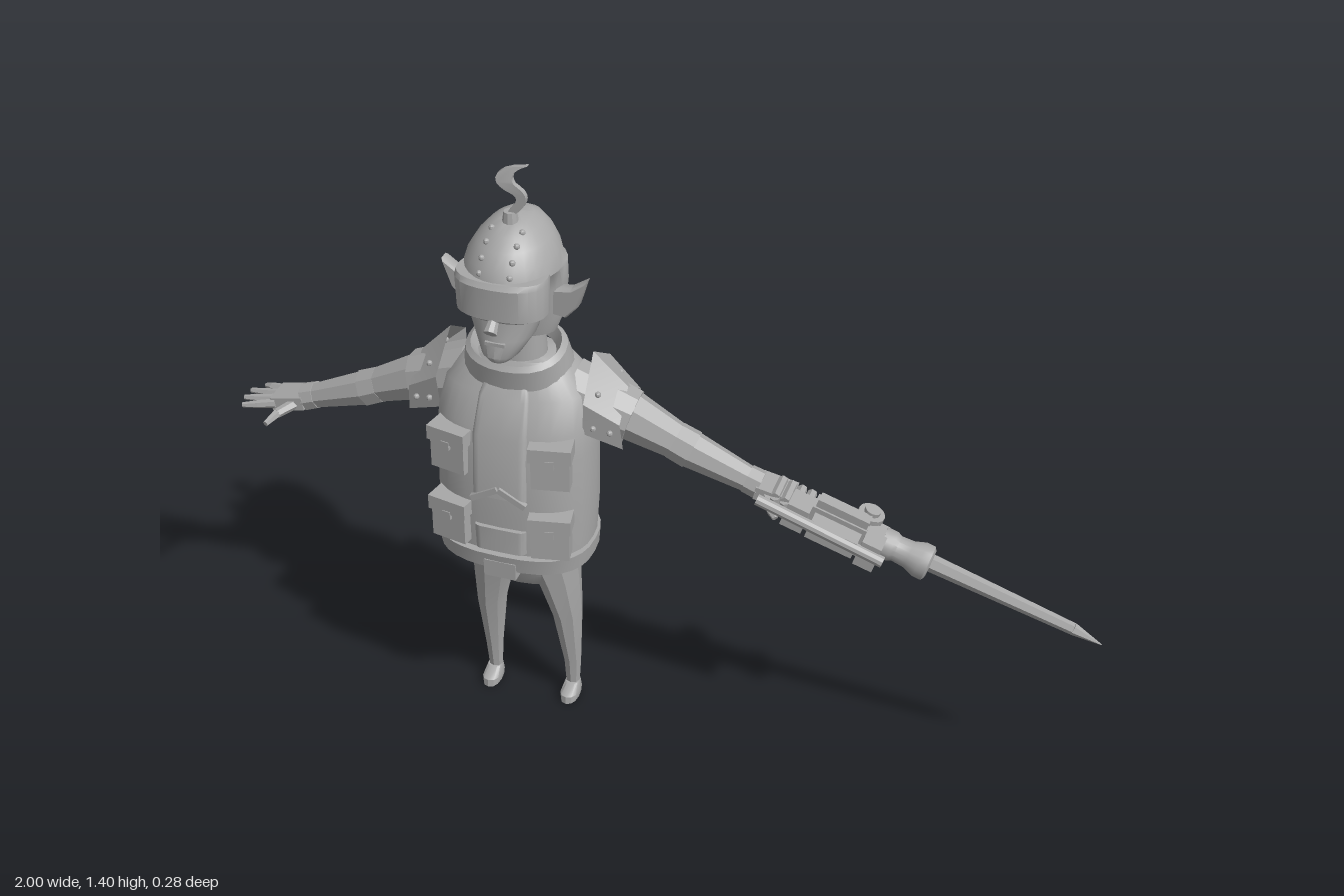
import * as THREE from 'three';
import { toCreasedNormals } from 'three/addons/utils/BufferGeometryUtils.js';

const V = (x, y, z) => new THREE.Vector3(x, y, z);

export function createModel() {
  const grey = new THREE.MeshStandardMaterial({ color: 0xa8a8a8, side: THREE.DoubleSide });
  grey.name = 'plain grey';
  const model = new THREE.Group();
  const figure = new THREE.Group();
  figure.name = 'figure';
  figure.position.x = -0.31;
  model.add(figure);

  function add(name, geo, parent = figure, crease = 0.6) {
    const mesh = new THREE.Mesh(toCreasedNormals(geo, crease), grey);
    mesh.name = name;
    parent.add(mesh);
    return mesh;
  }
  function surface(pos, idx) {
    const g = new THREE.BufferGeometry();
    g.setAttribute('position', new THREE.Float32BufferAttribute(pos, 3));
    g.setIndex(idx);
    return g;
  }
  // Stack of rounded rings, each [y, half width, front z, back z, centre x]
  function loft(sections, n = 24, power = 2, caps = true) {
    const pos = [], idx = [], e = 2 / power;
    const bend = (v) => Math.sign(v) * Math.abs(v) ** e;
    for (const [y, rx, zf, zb, cx = 0] of sections) {
      for (let j = 0; j < n; j++) {
        const a = (j / n) * Math.PI * 2;
        pos.push(cx + rx * bend(Math.sin(a)), y, (zf + zb) / 2 + ((zf - zb) / 2) * bend(Math.cos(a)));
      }
    }
    const m = sections.length;
    for (let i = 0; i < m - 1; i++) for (let j = 0; j < n; j++) {
      const a = i * n + j, b = i * n + ((j + 1) % n);
      idx.push(a, b, b + n, a, b + n, a + n);
    }
    if (caps) for (const i of [0, m - 1]) {
      const [y, , zf, zb, cx = 0] = sections[i], c = pos.length / 3;
      pos.push(cx, y, (zf + zb) / 2);
      for (let j = 0; j < n; j++) {
        const a = i * n + j, b = i * n + ((j + 1) % n);
        i ? idx.push(c, a, b) : idx.push(c, b, a);
      }
    }
    return surface(pos, idx);
  }
  // Tapered rod between two points
  function limb(name, a, ra, b, rb, sides = 8, parent = figure) {
    const mesh = add(name, new THREE.CylinderGeometry(rb, ra, a.distanceTo(b), sides), parent);
    mesh.position.copy(a).add(b).multiplyScalar(0.5);
    mesh.quaternion.setFromUnitVectors(V(0, 1, 0), b.clone().sub(a).normalize());
    return mesh;
  }
  function box(name, w, h, d, x, y, z, parent = figure) {
    const mesh = add(name, new THREE.BoxGeometry(w, h, d), parent);
    mesh.position.set(x, y, z);
    return mesh;
  }
  function rivet(x, y, z, r = 0.007) {
    add('rivet', new THREE.SphereGeometry(r, 8, 6), figure, 1).position.set(x, y, z);
  }

  // Head, helmet and visor
  add('helmet', loft([[1.01, 0.085, 0.02, -0.085], [1.05, 0.1, 0.03, -0.108], [1.125, 0.106, 0.045, -0.133],
    [1.17, 0.107, 0.07, -0.137], [1.175, 0.105, 0.108, -0.137], [1.205, 0.096, 0.1, -0.136], [1.235, 0.078, 0.073, -0.126],
    [1.258, 0.056, 0.045, -0.11], [1.272, 0.035, 0.015, -0.085], [1.28, 0.012, -0.015, -0.05]], 28), figure, 0.8);
  add('face', loft([[0.99, 0.025, 0.108, 0.04], [1.005, 0.042, 0.117, 0.01], [1.04, 0.065, 0.105, -0.03],
    [1.1, 0.085, 0.105, -0.04], [1.17, 0.09, 0.1, -0.04]], 20, 2.2), figure, 0.9);
  add('visor', loft([[1.09, 0.085, 0.108, -0.01], [1.098, 0.1, 0.117, -0.01], [1.172, 0.102, 0.118, -0.01],
    [1.183, 0.1, 0.11, -0.01]], 24, 2.4));
  limb('nose', V(0, 1.1, 0.1), 0.01, V(0, 1.075, 0.13), 0.015, 8);
  box('mouth', 0.045, 0.008, 0.012, 0, 1.035, 0.103);
  add('neck', loft([[0.92, 0.065, 0.03, -0.08], [1.03, 0.06, 0.03, -0.075]]));
  for (const s of [-1, 1]) {
    for (const [y, z] of [[1.195, 0.095], [1.222, 0.078], [1.246, 0.05], [1.262, 0.018]]) rivet(s * 0.034, y, z);
    const ear = new THREE.Shape([[0.09, 1.065], [0.115, 1.062], [0.14, 1.09], [0.16, 1.147], [0.13, 1.125], [0.09, 1.12]]
      .map(([x, y]) => new THREE.Vector2(s * x, y)));
    add('ear', new THREE.ExtrudeGeometry(ear, { depth: 0.022, bevelSize: 0.004, bevelThickness: 0.006, bevelSegments: 1 }))
      .position.z = -0.03;
  }

  // Curled crest on top of the helmet
  limb('crestSocket', V(0, 1.27, -0.003), 0.018, V(0, 1.296, -0.003), 0.014, 10);
  const curl = new THREE.Shape();
  curl.moveTo(-0.006, 1.29);
  curl.bezierCurveTo(0, 1.31, 0.03, 1.325, 0.008, 1.338);
  curl.bezierCurveTo(-0.035, 1.35, -0.06, 1.39, 0.037, 1.4);
  curl.bezierCurveTo(0.004, 1.388, -0.005, 1.368, 0.02, 1.355);
  curl.bezierCurveTo(0.055, 1.335, 0.03, 1.305, 0.01, 1.29);
  const crest = new THREE.ExtrudeGeometry(curl, { depth: 0.012, bevelEnabled: false, curveSegments: 8 });
  const cp = crest.attributes.position;
  for (let i = 0; i < cp.count; i++) cp.setZ(i, cp.getZ(i) - 0.01 - Math.max(0, cp.getY(i) - 1.36) * 0.35);
  add('crest', crest);

  // Vest, collar and hem
  add('vest', loft([[0.47, 0.172, 0.118, -0.112], [0.6, 0.18, 0.12, -0.122], [0.75, 0.18, 0.113, -0.13],
    [0.81, 0.178, 0.103, -0.135], [0.88, 0.165, 0.07, -0.134], [0.925, 0.125, 0.045, -0.115],
    [0.95, 0.09, 0.03, -0.09]], 32, 2.5), figure, 0.8);
  const hem = add('hem', loft([[-0.018, 0.178, 0.13, -0.12], [0.022, 0.182, 0.133, -0.122]], 32, 2.6));
  hem.position.y = 0.487;
  hem.rotation.x = 0.06;
  const collar = add('collar', loft([[-0.02, 0.122, 0.094, -0.092], [0.03, 0.112, 0.09, -0.09], [0.04, 0.1, 0.08, -0.08],
    [0.01, 0.085, 0.065, -0.065]], 24, 2.2, false));
  collar.position.set(0, 0.94, -0.02);
  collar.rotation.x = 0.24;

  // Chest panels, chevron, buckle and pockets
  add('chestPanel', loft([[0.65, 0.064, 0.126, 0], [0.8, 0.064, 0.113, 0], [0.88, 0.058, 0.08, 0], [0.91, 0.05, 0.06, 0]], 24, 8));
  add('bellyPanel', loft([[0.51, 0.06, 0.13, 0], [0.57, 0.062, 0.129, 0]], 24, 8));
  box('buckle', 0.075, 0.042, 0.03, 0, 0.463, 0.118);
  for (const s of [-1, 1]) {
    const chevron = box('chevron', 0.07, 0.014, 0.012, s * 0.032, 0.658, 0.124);
    chevron.rotation.z = -s * 0.5;
    for (const [y, z] of [[0.745, 0.09], [0.568, 0.102]]) {
      const pocket = new THREE.Group();
      pocket.name = 'pocket';
      pocket.position.set(s * 0.114, y, z);
      pocket.rotation.y = s * 0.2;
      figure.add(pocket);
      box('pouch', 0.085, 0.085, 0.055, 0, -0.008, 0, pocket);
      box('flap', 0.095, 0.035, 0.066, 0, 0.038, 0, pocket);
      box('tab', 0.02, 0.02, 0.07, 0, 0.018, 0, pocket);
    }
  }

  // Trousers and feet
  add('pelvis', loft([[0.355, 0.085, 0.03, -0.09], [0.4, 0.118, 0.062, -0.112], [0.48, 0.124, 0.08, -0.108]], 16, 2.3));
  for (const s of [-1, 1]) {
    add('leg', loft([[0.02, 0.016, -0.036, -0.066, s * 0.097], [0.1, 0.021, -0.028, -0.071, s * 0.098],
      [0.25, 0.034, 0.008, -0.086, s * 0.093], [0.36, 0.047, 0.04, -0.103, s * 0.078],
      [0.45, 0.058, 0.068, -0.108, s * 0.062]], 8), figure, 0.5);
    add('foot', loft([[0, 0.02, 0.004, -0.07, s * 0.098], [0.018, 0.022, 0.002, -0.072, s * 0.098],
      [0.036, 0.017, -0.03, -0.067, s * 0.098]], 12, 2.4));
  }

  // Arms, shoulder guards and hands
  for (const s of [-1, 1]) {
    const P = (x, y, z) => V(s * x, y, z);
    limb('shoulder', P(0.11, 0.855, -0.045), 0.075, P(0.25, 0.81, -0.05), 0.062, 10);
    limb('upperArm', P(0.24, 0.815, -0.05), 0.056, P(0.36, 0.762, -0.053), 0.04, 8);
    limb('elbow', P(0.345, 0.768, -0.053), 0.043, P(0.385, 0.75, -0.054), 0.044, 8);
    limb('forearm', P(0.38, 0.752, -0.054), 0.042, P(0.53, 0.695, -0.055), 0.028, 8);
    limb('cuff', P(0.51, 0.703, -0.055), 0.032, P(0.54, 0.692, -0.055), 0.033, 8);

    const rows = [
      [[0.165, 0.8, 0.035], [0.17, 0.88, 0.042], [0.165, 0.965, -0.04], [0.17, 0.905, -0.132], [0.165, 0.81, -0.128]],
      [[0.25, 0.765, 0.015], [0.245, 0.83, 0.022], [0.24, 0.885, -0.05], [0.245, 0.84, -0.118], [0.25, 0.77, -0.11]]];
    const idx = [];
    for (let j = 0; j < 4; j++) s > 0 ? idx.push(j, j + 5, j + 6, j, j + 6, j + 1) : idx.push(j, j + 6, j + 5, j, j + 1, j + 6);
    add('shoulderGuard', surface(rows.flat().flatMap(([x, y, z]) => [s * x, y, z]), idx), figure, 0.2);
    for (const [x, y, z] of [[0.195, 0.895, 0.016], [0.225, 0.81, 0.029], [0.19, 0.82, 0.038], [0.205, 0.885, -0.1]]) rivet(s * x, y, z);

    box('palm', 0.08, 0.032, 0.07, s * 0.575, 0.682, -0.058).rotation.z = -s * 0.2;
    for (let k = 0; k < 4; k++) {
      const z = -0.088 + k * 0.021, spread = -0.095 + k * 0.031;
      if (s < 0) { // open hand
        const reach = [0.665, 0.688, 0.69, 0.68][k], mid = P(0.645, 0.672, (z + spread) / 2 - 0.003);
        limb('finger', P(0.605, 0.678, z), 0.011, mid, 0.0095, 6);
        limb('fingertip', mid, 0.0095, P(reach, 0.668, spread - 0.006), 0.006, 6);
      } else { // closed on the grip
        const x = 0.585 + k * 0.022, y = 0.678 - k * 0.007;
        limb('finger', P(x, y + 0.022, -0.08), 0.011, P(x, y + 0.018, -0.015), 0.011, 6);
        limb('fingertip', P(x, y + 0.018, -0.015), 0.011, P(x, y - 0.025, -0.018), 0.009, 6);
      }
    }
    const knuckle = P(0.585, 0.675, 0.008);
    limb('thumb', P(0.56, 0.682, -0.03), 0.013, knuckle, 0.011, 6);
    limb('thumbTip', knuckle, 0.011, P(0.597, 0.667, s < 0 ? 0.045 : 0.02), 0.007, 6);
  }

  // Bladed weapon, built along its own x axis
  const weapon = new THREE.Group();
  weapon.name = 'weapon';
  weapon.position.set(0.6, 0.573, -0.058);
  weapon.rotation.z = -0.312;
  model.add(weapon);
  const flare = [[0, 0], [0.034, 0], [0.034, 0.025], [0.029, 0.035], [0.031, 0.065], [0.04, 0.09], [0.04, 0.11], [0.032, 0.115], [0, 0.115]]
    .map(([r, y]) => new THREE.Vector2(r, y));
  const hilt = add('hilt', new THREE.LatheGeometry(flare, 16), weapon);
  hilt.rotation.z = -Math.PI / 2;
  hilt.position.x = -0.1;
  limb('blade', V(0, 0, -0.005), 0.021, V(0.35, 0, -0.01), 0.014, 6, weapon).scale.z = 0.9;
  limb('bladeTip', V(0.35, 0, -0.01), 0.014, V(0.42, -0.006, -0.01), 0.001, 6, weapon);
  box('receiver', 0.17, 0.05, 0.05, -0.18, 0, 0, weapon);
  box('topRail', 0.12, 0.02, 0.03, -0.2, 0.034, 0.005, weapon);
  box('rearBlock', 0.05, 0.06, 0.06, -0.29, 0.004, 0.035, weapon);
  box('sideBlock', 0.11, 0.042, 0.04, -0.2, -0.002, 0.052, weapon);
  box('frontBlock', 0.045, 0.065, 0.075, -0.115, -0.004, 0.03, weapon);
  box('lowerBlock', 0.08, 0.025, 0.035, -0.17, -0.034, 0.01, weapon);
  limb('sideBarrel', V(-0.38, 0.012, 0.07), 0.013, V(-0.08, 0.004, 0.07), 0.013, 10, weapon);
  limb('rearGrip', V(-0.34, 0, 0), 0.016, V(-0.25, 0, 0), 0.018, 10, weapon);
  limb('drum', V(-0.145, -0.03, -0.025), 0.03, V(-0.145, 0.04, -0.025), 0.03, 16, weapon);
  limb('drumCap', V(-0.145, 0.04, -0.025), 0.018, V(-0.145, 0.05, -0.025), 0.018, 12, weapon);

  return model;
}
